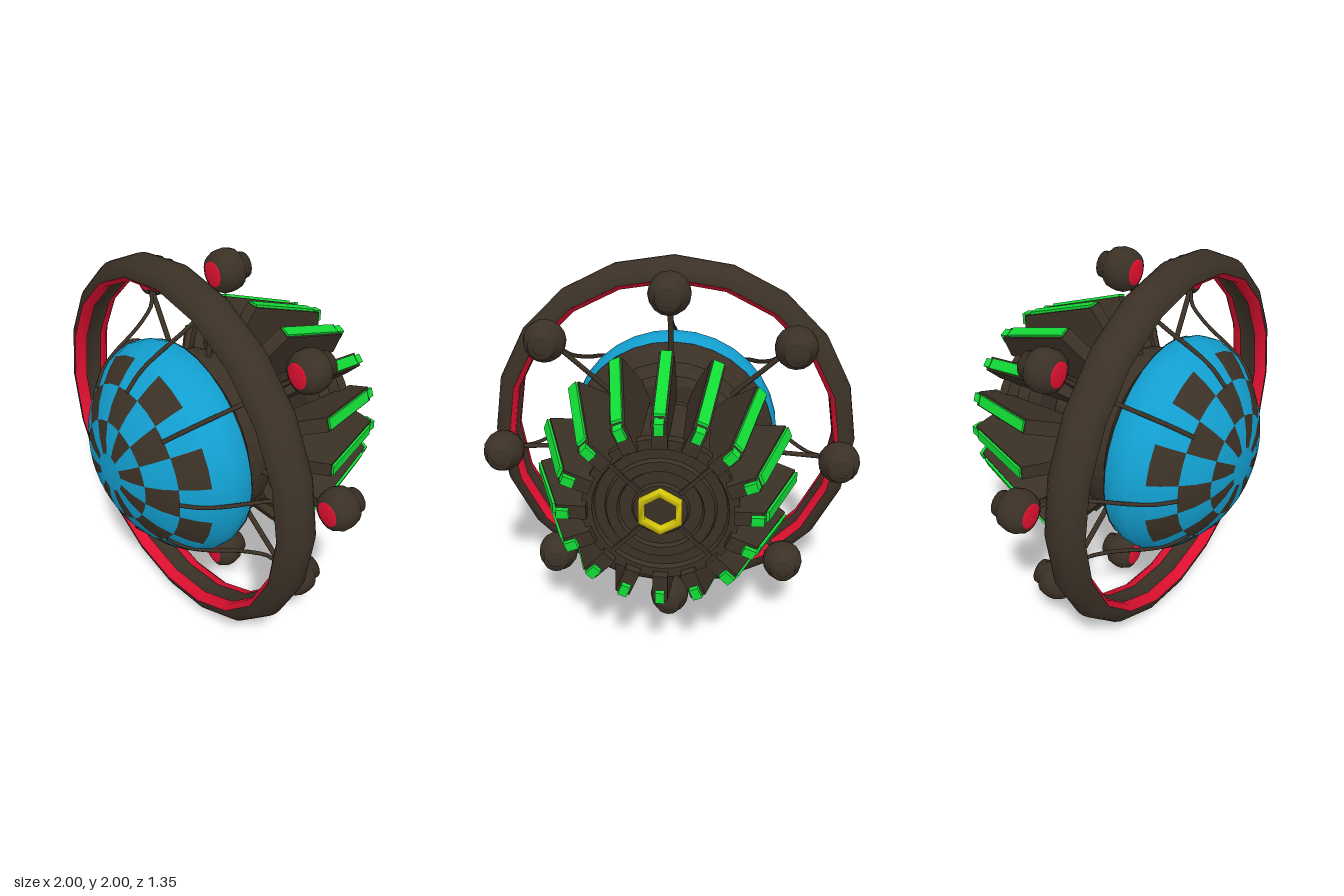
import * as THREE from 'three';
import { mergeGeometries } from 'three/addons/utils/BufferGeometryUtils.js';

const mat = (name, color, side = THREE.FrontSide) => {
  const m = new THREE.MeshStandardMaterial({ color, side });
  m.name = name;
  return m;
};

export function createModel() {
  const dark = mat('dark brown', 0x3b3126, THREE.DoubleSide);
  const blue = mat('blue', 0x129fd0, THREE.DoubleSide);
  const red = mat('red', 0xe01030, THREE.DoubleSide);
  const green = mat('green', 0x12dc36);
  const yellow = mat('yellow', 0xd8c80c, THREE.DoubleSide);

  const model = new THREE.Group();
  model.name = 'model';
  const body = new THREE.Group(); // everything turns around the z axis at y = 1
  body.name = 'body';
  body.position.y = 1;
  model.add(body);

  const add = (parent, name, geo, material) => {
    const m = new THREE.Mesh(geo, material);
    m.name = name;
    parent.add(m);
    return m;
  };
  // Lathe around z from [radius, z] points, listed back to front
  const turn = (pts, segs, start = 0, len = Math.PI * 2) =>
    new THREE.LatheGeometry(pts.map(p => new THREE.Vector2(p[0], p[1])), segs, start, len).rotateX(Math.PI / 2);
  // Plate from a [radius, z] outline with a given tangential width
  const plate = (pts, width) => {
    const s = new THREE.Shape(pts.map(p => new THREE.Vector2(p[0], p[1])));
    return new THREE.ExtrudeGeometry(s, { depth: width, bevelEnabled: false })
      .translate(0, 0, -width / 2).rotateX(Math.PI / 2);
  };

  // Outer ring: rounded rim, two red inner lips and a dark groove
  const rim = [];
  for (let i = 0; i <= 10; i++) {
    const a = -Math.PI / 2 + (i / 10) * Math.PI;
    rim.push([0.905 + 0.095 * Math.cos(a), 0.245 + 0.104 * Math.sin(a)]);
  }
  add(body, 'ringRim', turn(rim, 20), dark);
  add(body, 'ringFrontLip', turn([[0.907, 0.349], [0.88, 0.325], [0.88, 0.29]], 20), red);
  add(body, 'ringGroove', turn([[0.88, 0.29], [0.9, 0.28], [0.9, 0.21], [0.88, 0.2]], 20), dark);
  add(body, 'ringBackLip', turn([[0.88, 0.2], [0.88, 0.165], [0.907, 0.141]], 20), red);

  // Checkered dome: 16 sectors in rows, every second tile dark
  const rows = [
    [[0.545, 0.2], [0.57, 0.26], [0.57, 0.33], [0.53, 0.42]],
    [[0.53, 0.42], [0.485, 0.475], [0.42, 0.535]],
    [[0.42, 0.535], [0.345, 0.59], [0.265, 0.63]],
    [[0.265, 0.63], [0.18, 0.655], [0.1, 0.667]],
    [[0.1, 0.667], [0, 0.672]],
  ];
  const step = Math.PI / 8;
  const tiles = { blue: [], dark: [] };
  rows.forEach((pts, row) => {
    for (let i = 0; i < 16; i++) {
      const isDark = row > 0 && row < 4 && (i + row) % 2 === 0;
      tiles[isDark ? 'dark' : 'blue'].push(turn(pts, 2, (i - 0.5) * step, step));
    }
  });
  add(body, 'domeBlueTiles', mergeGeometries(tiles.blue), blue);
  add(body, 'domeDarkTiles', mergeGeometries(tiles.dark), dark);

  // Hub, narrow neck and rear disc
  const sections = {
    hub: [[0.1, -0.17], [0.24, -0.09], [0.31, -0.06], [0.31, -0.025], [0.4, -0.025], [0.44, 0.0], [0.455, 0.06], [0.46, 0.14], [0.47, 0.15], [0.55, 0.2]],
    neck: [[0.1, -0.46], [0.1, -0.15]],
    rearDisc: [[0, -0.6], [0.13, -0.6], [0.14, -0.585], [0.2, -0.585], [0.21, -0.605], [0.26, -0.605], [0.27, -0.585], [0.32, -0.585], [0.33, -0.61], [0.38, -0.61], [0.38, -0.56], [0.33, -0.53], [0.33, -0.46], [0.26, -0.43], [0, -0.43]],
  };
  for (const [name, pts] of Object.entries(sections)) {
    const g = turn(pts, 32).toNonIndexed();
    g.computeVertexNormals();
    add(body, name, g, dark);
  }

  // Rear hexagon and crossing bars
  add(body, 'rearHexagon', turn([[0.085, -0.6], [0.085, -0.635], [0.12, -0.635], [0.12, -0.6]], 6), yellow);
  for (let i = 0; i < 4; i++) {
    const bar = add(body, 'rearBar', new THREE.BoxGeometry(0.24, 0.018, 0.02), dark);
    const a = i * Math.PI / 2 + Math.PI / 4;
    bar.position.set(0.25 * Math.cos(a), 0.25 * Math.sin(a), -0.602);
    bar.rotation.z = a;
  }

  // Sixteen fins with green edge strips and end caps
  const finGeo = plate([[0.34, -0.06], [0.45, -0.06], [0.652, -0.22], [0.49, -0.655], [0.35, -0.655], [0.35, -0.5]], 0.074);
  const stripGeo = plate([[0.64, -0.225], [0.664, -0.225], [0.515, -0.625], [0.49, -0.625]], 0.055);
  const capGeo = plate([[0.43, -0.64], [0.5, -0.64], [0.49, -0.682], [0.43, -0.682]], 0.046);
  for (let i = 0; i < 16; i++) {
    const fin = new THREE.Group();
    fin.name = 'fin';
    fin.rotation.z = i * step;
    add(fin, 'finBlade', finGeo, dark);
    add(fin, 'finStrip', stripGeo, green);
    add(fin, 'finCap', capGeo, green);
    body.add(fin);
  }

  // Eight pods, each with a bent wire to the dome and a straight rod
  const podGeo = turn([[0, -0.16], [0.04, -0.16], [0.045, -0.15], [0.065, -0.16], [0.07, -0.125], [0.098, -0.1], [0.108, -0.06], [0.106, -0.02], [0.09, 0.015], [0.06, 0.03]], 16);
  const podFaceGeo = turn([[0.064, 0.028], [0.05, 0.036], [0, 0.038]], 16);
  const wirePath = new THREE.CatmullRomCurve3([
    [0.42, 0.54], [0.5, 0.465], [0.565, 0.36], [0.63, 0.22], [0.68, 0.13], [0.74, 0.05], [0.83, 0.005],
  ].map(p => new THREE.Vector3(p[0], 0, p[1])));
  const wireGeo = new THREE.TubeGeometry(wirePath, 18, 0.011, 6);
  const rodPath = new THREE.LineCurve3(new THREE.Vector3(0.42, 0, 0.06), new THREE.Vector3(0.8, 0, 0.01));
  const rodGeo = new THREE.TubeGeometry(rodPath, 1, 0.014, 6);
  for (let i = 0; i < 8; i++) {
    const arm = new THREE.Group();
    arm.name = 'podArm';
    arm.rotation.z = i * Math.PI / 4;
    add(arm, 'pod', podGeo, dark).position.x = 0.89;
    add(arm, 'podFace', podFaceGeo, red).position.x = 0.89;
    add(arm, 'wire', wireGeo, dark);
    add(arm, 'rod', rodGeo, dark);
    body.add(arm);
  }
  return model;
}
